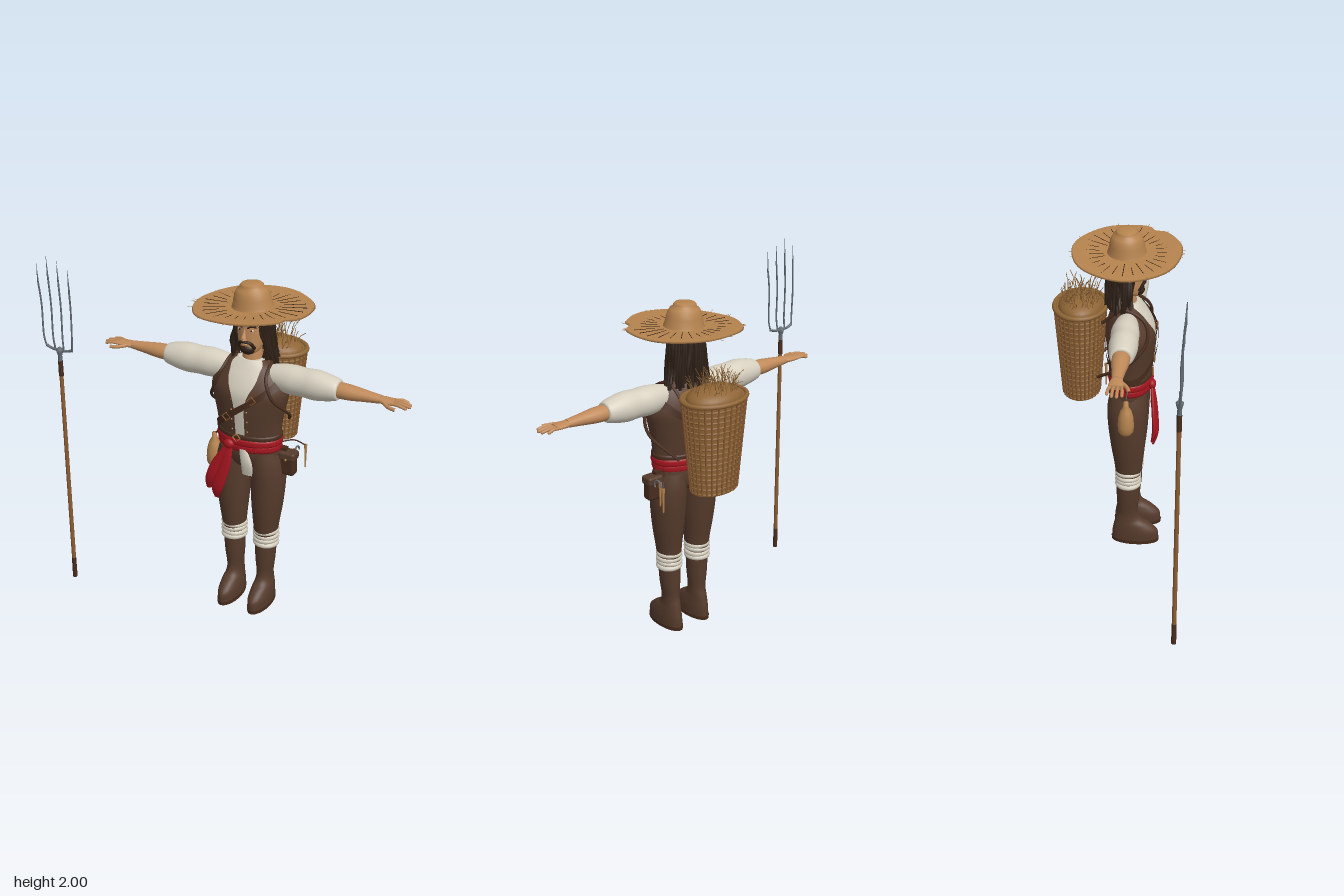
import * as THREE from 'three';
import { mergeGeometries } from 'three/addons/utils/BufferGeometryUtils.js';
import { RoundedBoxGeometry } from 'three/addons/geometries/RoundedBoxGeometry.js';

const mat = (name, color, side = THREE.FrontSide) =>
  Object.assign(new THREE.MeshStandardMaterial({ color, side }), { name });
const V = (x, y, z) => new THREE.Vector3(x, y, z);

// Seeded random numbers for straw and hair
let seed = 7;
const rnd = (a = 0, b = 1) => {
  seed = (seed * 16807) % 2147483647;
  return a + (b - a) * (seed / 2147483647);
};

// Smooth interpolation through cross-sections [y, cx, cz, rx, rz, gap]
function section(S, u) {
  const n = S.length - 1, i = Math.min(Math.floor(u), n - 1), t = u - i;
  const at = k => S[Math.max(0, Math.min(n, k))];
  return S[0].map((_, c) => {
    const [a, b, d, e] = [at(i - 1)[c], at(i)[c], at(i + 1)[c], at(i + 2)[c]];
    return b + 0.5 * t * (d - a + t * (2 * a - 5 * b + 4 * d - e + t * (3 * (b - d) + e - a)));
  });
}
const ringPoint = (s, a, off = 0) =>
  [s[1] + (s[3] + off) * Math.sin(a), s[0], s[2] + (s[4] + off) * Math.cos(a)];

// Skin elliptical rings from bottom to top; a gap leaves the front open
function loft(S, seg = 28, sub = 5) {
  const open = S[0].length > 5, rows = (S.length - 1) * sub, P = [], I = [];
  const cols = open ? seg + 1 : seg;
  for (let j = 0; j <= rows; j++) {
    const s = section(S, j / sub), g = open ? s[5] : 0;
    for (let i = 0; i < cols; i++) P.push(...ringPoint(s, g + (2 * Math.PI - 2 * g) * i / seg));
  }
  for (let j = 0; j < rows; j++) for (let i = 0; i < seg; i++) {
    const a = j * cols + i, b = j * cols + (i + 1) % cols;
    I.push(a, b, b + cols, a, b + cols, a + cols);
  }
  if (!open) for (const j of [0, rows]) {
    const c = P.length / 3, s = section(S, j / sub);
    P.push(s[1], s[0], s[2]);
    for (let i = 0; i < seg; i++) P.push(...ringPoint(s, 2 * Math.PI * i / seg));
    for (let i = 0; i < seg; i++) {
      const a = c + 1 + i, b = c + 1 + (i + 1) % seg;
      I.push(c, ...(j ? [a, b] : [b, a]));
    }
  }
  const g = new THREE.BufferGeometry();
  g.setAttribute('position', new THREE.Float32BufferAttribute(P, 3));
  g.setIndex(I);
  g.computeVertexNormals();
  return g;
}
const tube = (pts, r, seg = 12, rad = 6, closed = false) =>
  new THREE.TubeGeometry(new THREE.CatmullRomCurve3(pts, closed), seg, r, rad, closed);
const lathe = (pts, seg = 40) => new THREE.LatheGeometry(pts.map(p => new THREE.Vector2(...p)), seg);
const range = (n, f) => Array.from({ length: n }, (_, i) => f(i));

export function createModel() {
  const skin = mat('skin', 0xc08a5a), straw = mat('straw', 0xb5834e), brown = mat('brownCloth', 0x563b2c, THREE.DoubleSide),
    linen = mat('linen', 0xd6cfbf, THREE.DoubleSide), red = mat('redSash', 0xa5151f), wicker = mat('wicker', 0x8f6536),
    hair = mat('darkHair', 0x2f2117, THREE.DoubleSide), steel = mat('steel', 0x676e74),
    wood = mat('wood', 0x8c5d34), leather = mat('leather', 0x482c1d, THREE.DoubleSide);
  const model = new THREE.Group();
  const group = (name, x = 0, y = 0, z = 0, parent = model) => {
    const g = new THREE.Group(); g.name = name; g.position.set(x, y, z); parent.add(g); return g;
  };
  const add = (parent, name, geo, m, x = 0, y = 0, z = 0) => {
    const o = new THREE.Mesh(geo, m); o.name = name; o.position.set(x, y, z); parent.add(o); return o;
  };
  const body = group('body', 0.1, 0, 0);

  // Torso: shirt under an open vest
  const T = [[1.05, 0, .07, .178, .112, .15], [1.15, 0, .07, .185, .125, .15], [1.25, 0, .07, .205, .135, .15],
    [1.33, 0, .068, .22, .138, .22], [1.4, 0, .062, .195, .117, .42], [1.46, 0, .055, .15, .085, .62], [1.495, 0, .05, .08, .065, 1.1]];
  add(body, 'vest', loft(T, 40), brown);
  add(body, 'shirt', loft(T.map(([y, x, z, a, b]) => [y, x, z, a - .006, b - .006])), linen);
  for (const s of [-1, 1]) for (let k = 0; k < 4; k++)
    add(body, 'vestButton', new THREE.SphereGeometry(.005, 8, 6), straw, s * .045, 1.12 + k * .06, .19 + Math.min(k, 2) * .006);

  // Shoulder-to-hip belt following the torso
  const strapP = [], strapI = [];
  for (let i = 0; i <= 64; i++) {
    const a = i / 64 * Math.PI * 2;
    for (const d of [-.021, .021]) {
      const y = 1.25 + .165 * Math.sin(a) + d;
      let k = 0; while (k < T.length - 2 && T[k + 1][0] < y) k++;
      const p = ringPoint(section(T, k + (y - T[k][0]) / (T[k + 1][0] - T[k][0])), a, .009);
      strapP.push(p[0], y, p[2]);
    }
    if (i) strapI.push(2 * i - 2, 2 * i, 2 * i + 1, 2 * i - 2, 2 * i + 1, 2 * i - 1);
  }
  const strapG = new THREE.BufferGeometry();
  strapG.setAttribute('position', new THREE.Float32BufferAttribute(strapP, 3));
  strapG.setIndex(strapI); strapG.computeVertexNormals();
  add(body, 'crossBelt', strapG, leather);
  for (const [x, y, z] of [[-.075, 1.19, .202], [.075, 1.315, .206]])
    add(body, 'crossBeltBuckle', new THREE.TorusGeometry(.024, .004, 6, 4), wood, x, y, z);

  // Waist: belt, sash, knot, tails and rag
  const band = (y0, y1, a, b) => loft([[y0, 0, .07, a - .006, b - .006], [y0 + (y1 - y0) * .25, 0, .07, a, b],
    [y0 + (y1 - y0) * .75, 0, .07, a, b], [y1, 0, .07, a - .006, b - .006]]);
  add(body, 'waistBelt', band(1.06, 1.09, .187, .122), leather);
  add(body, 'beltBuckle', new THREE.TorusGeometry(.023, .004, 6, 4), straw, -.02, 1.072, .192);
  add(body, 'sash', band(1.025, 1.066, .188, .126), red);
  add(body, 'sashLower', band(.99, 1.033, .184, .122), red);
  add(body, 'sashKnot', new THREE.SphereGeometry(.032, 16, 12), red, -.065, 1.025, .19).scale.set(1, .9, .7);
  add(body, 'sashTail', loft([[.73, -.185, .2, .014, .006], [.8, -.165, .212, .034, .012], [.9, -.13, .205, .034, .013], [1.02, -.07, .19, .018, .01]], 16), red);
  add(body, 'sashTail', loft([[.685, -.135, .205, .012, .006], [.76, -.12, .222, .034, .012], [.9, -.08, .21, .032, .013], [1.03, -.06, .19, .018, .01]], 16), red);
  add(body, 'rag', loft([[.855, .04, .18, .03, .006], [.93, .038, .188, .034, .012], [1.01, .015, .185, .022, .01]], 16), linen);

  // Hips, legs, wraps and boots
  add(body, 'hips', loft([[.865, 0, .058, .05, .07], [.9, 0, .058, .15, .1], [.96, 0, .062, .178, .115], [1.03, 0, .068, .176, .112]]), brown);
  for (const s of [-1, 1]) {
    const leg = group(s > 0 ? 'leftLeg' : 'rightLeg', 0, 0, 0, body);
    add(leg, 'trouserLeg', loft([[.42, s * .098, .062, .062, .066], [.52, s * .1, .065, .072, .078], [.65, s * .104, .062, .087, .095],
      [.8, s * .106, .058, .096, .108], [.9, s * .1, .058, .093, .11], [.98, s * .088, .062, .085, .1]]), brown);
    for (let k = 0; k < 4; k++) {
      const w = add(leg, 'kneeWrap', new THREE.TorusGeometry(.059, .0155, 10, 32), linen, s * .099, .394 + k * .026, .063);
      w.rotation.set(Math.PI / 2, s * .04 * (k % 2 ? 1 : -1), 0);
    }
    add(leg, 'boot', loft([[.02, s * .095, .105, .057, .133], [.07, s * .095, .104, .058, .13], [.115, s * .095, .085, .053, .102],
      [.15, s * .094, .063, .047, .072], [.2, s * .094, .06, .046, .058], [.29, s * .096, .062, .055, .064], [.4, s * .098, .063, .061, .067]]), brown);
    add(leg, 'sole', loft([[0, s * .095, .105, .059, .136], [.022, s * .095, .105, .06, .138]], 28, 1), leather);
  }

  // Arms held straight out to the sides
  for (const s of [-1, 1]) {
    const arm = group(s > 0 ? 'leftArm' : 'rightArm', 0, 1.415, .06, body);
    arm.rotation.z = -s * Math.PI / 2;
    add(arm, 'sleeve', loft([[.1, 0, -.003, .055, .055], [.17, 0, -.003, .072, .066], [.24, 0, -.003, .08, .075], [.31, 0, 0, .078, .073],
      [.38, 0, 0, .081, .076], [.45, 0, 0, .07, .07], [.5, 0, 0, .056, .06], [.508, 0, 0, .045, .048]]), linen);
    add(arm, 'forearm', loft([[.48, 0, 0, .042, .046], [.56, 0, 0, .041, .046], [.65, 0, 0, .031, .035], [.735, 0, 0, .021, .027]], 20), skin);
    add(arm, 'palm', loft([[.72, 0, 0, .018, .024], [.755, 0, 0, .016, .036], [.81, 0, 0, .013, .038]], 16), skin);
    for (let k = 0; k < 4; k++) {
      const z = -.03 + k * .02, end = [.865, .888, .893, .88][k];
      add(arm, 'finger', tube([V(0, .795, z * .9), V(-s * .004, .84, z * 1.15), V(s * .004, end, z * 1.25)], .0085, 8, 8), skin);
      add(arm, 'fingertip', new THREE.SphereGeometry(.0085, 8, 6), skin, s * .004, end, z * 1.25);
    }
    add(arm, 'thumb', tube([V(0, .75, .02), V(s * .006, .795, .055), V(s * .008, .84, .068)], .01, 8, 8), skin);
  }

  // Head and face
  const head = group('head', 0, 0, 0, body);
  add(head, 'neck', new THREE.CylinderGeometry(.048, .056, .13, 24), skin, 0, 1.52, .045);
  add(head, 'skull', loft([[1.53, 0, .085, .025, .035], [1.55, 0, .07, .052, .06], [1.6, 0, .055, .07, .077], [1.68, 0, .045, .08, .09], [1.78, 0, .045, .08, .088]]), skin);
  add(head, 'nose', new THREE.ConeGeometry(.017, .065, 12), skin, 0, 1.655, .142).rotation.x = -.25;
  add(head, 'noseTip', new THREE.SphereGeometry(.013, 12, 8), skin, 0, 1.635, .152);
  add(head, 'goatee', new THREE.SphereGeometry(1, 20, 14), hair, 0, 1.562, .095).scale.set(.046, .034, .046);
  add(head, 'lips', new THREE.SphereGeometry(1, 12, 8), skin, 0, 1.593, .132).scale.set(.018, .006, .008);
  for (const s of [-1, 1]) {
    add(head, 'moustache', tube([V(s * .002, 1.61, .142), V(s * .028, 1.604, .132), V(s * .045, 1.57, .11)], .009, 8, 6), hair);
    add(head, 'eye', new THREE.SphereGeometry(1, 12, 8), linen, s * .033, 1.672, .123).scale.set(.013, .006, .007);
    add(head, 'pupil', new THREE.SphereGeometry(.0055, 8, 6), hair, s * .033, 1.672, .127);
    add(head, 'eyebrow', tube([V(s * .013, 1.686, .133), V(s * .035, 1.696, .128), V(s * .056, 1.69, .114)], .005, 6, 6), hair);
  }
  add(head, 'hairBack', loft([[1.53, 0, .02, .1, .072, 1.5], [1.63, 0, .03, .098, .08, 1.2], [1.77, 0, .04, .088, .09, .85]], 28), hair);
  const locks = range(36, i => {
    const a = .8 + (i / 35) * (2 * Math.PI - 1.6), sx = Math.sin(a), cz = Math.cos(a), w = rnd(-.01, .01), y = rnd(1.45, 1.52);
    return tube([V(.082 * sx, 1.775, .04 + .08 * cz), V(.1 * sx + w, 1.67, .03 + .088 * cz), V(.115 * sx - w, 1.57, .025 + .086 * cz + w),
      V(.125 * sx + w, y, .02 + .085 * cz)], rnd(.008, .012), 10, 5);
  });
  add(head, 'hairLocks', mergeGeometries(locks), hair);

  // Wide straw hat, slightly tilted, with a notch in the brim
  const hat = group('hat', 0, 1.765, .045, body);
  hat.rotation.z = .06;
  const brim = lathe([[.09, 0], [.2, -.002], [.31, .003], [.325, .009], [.318, .017], [.2, .012], [.09, .012]], 96);
  const bp = brim.attributes.position;
  for (let i = 0; i < bp.count; i++) {
    const x = bp.getX(i), z = bp.getZ(i), a = Math.atan2(x, z), r = Math.hypot(x, z);
    const k = r > .25 ? 1 - .1 * Math.exp(-(((a - 1.03) / .13) ** 2)) + .008 * Math.sin(a * 7) : 1;
    bp.setXYZ(i, x * k, bp.getY(i) + (r > .25 ? .006 * Math.sin(a * 2 + 1) : 0), z * k * .9);
  }
  brim.computeVertexNormals();
  add(hat, 'brim', brim, straw);
  add(hat, 'crown', lathe([[.116, .005], [.107, .025], [.1, .06], [.092, .088], [.08, .108], [.062, .118], [.064, .127], [.054, .137], [.03, .141], [0, .142]]), straw).scale.z = .92;
  const stitches = range(28, i => {
    const a = i / 28 * Math.PI * 2, r0 = rnd(.13, .19), r1 = rnd(.25, .29);
    return tube([V(r0 * Math.sin(a), .012, r0 * .9 * Math.cos(a)), V(r1 * Math.sin(a), .014, r1 * .9 * Math.cos(a))], .0018, 2, 4);
  });
  add(hat, 'brimStitches', mergeGeometries(stitches), hair);
  const frays = range(24, i => {
    const a = rnd(0, 6.28), r = rnd(.33, .345);
    return tube([V(.3 * Math.sin(a), .01, .27 * Math.cos(a)), V(r * Math.sin(a), rnd(.0, .02), r * .9 * Math.cos(a))], .0013, 1, 4);
  });
  add(hat, 'brimFrays', mergeGeometries(frays), straw);

  // Oval wicker basket on the back, filled with straw
  const basket = group('basket', 0, 0, -.205, body);
  const oval = (y, off = 0, n = 20) => {
    const t = (y - .935) / .525, a = .135 + .05 * t + off, b = .098 + .04 * t + off;
    return range(n, i => V(a * Math.sin(i / n * 2 * Math.PI), y, b * Math.cos(i / n * 2 * Math.PI)));
  };
  add(basket, 'basketWall', loft([[.935, 0, 0, .135, .098], [1.46, 0, 0, .185, .138]], 40, 1), wicker);
  add(basket, 'basketHoops', mergeGeometries(range(17, k => tube(oval(.945 + k * .03), .006, 40, 6, true))), wicker);
  const lows = oval(.94, .003, 30), highs = oval(1.46, .003, 30);
  add(basket, 'basketStakes', mergeGeometries(lows.map((p, i) => tube([p, highs[i]], .0055, 1, 5))), wood);
  add(basket, 'basketRim', tube(oval(1.458, .002), .013, 48, 8, true), wicker);
  add(basket, 'strawMound', new THREE.SphereGeometry(1, 28, 10, 0, Math.PI * 2, 0, Math.PI / 2), wicker, 0, 1.455, 0).scale.set(.165, .065, .12);
  const blades = range(95, () => {
    const a = rnd(0, 6.28), r = Math.sqrt(rnd()), x = .15 * r * Math.sin(a), z = .105 * r * Math.cos(a), y = 1.455 + .06 * Math.sqrt(1 - r * r);
    const h = rnd(.03, .11), dx = rnd(-.04, .04), dz = rnd(-.04, .04);
    return tube([V(x, y - .01, z), V(x + dx * .4, y + h * .6, z + dz * .4), V(x * 1.1 + dx, y + h, z * 1.1 + dz)], .0017, 3, 4);
  });
  add(basket, 'strawBlades', mergeGeometries(blades), wicker);
  for (const s of [-1, 1])
    add(body, 'basketStrap', tube([V(s * .1, 1.4, -.08), V(s * .115, 1.487, .03), V(s * .13, 1.43, .15), V(s * .17, 1.33, .165), V(s * .225, 1.22, .07), V(s * .15, 1.1, -.1)], .009, 32, 6), leather);

  // Items hanging at the waist
  const gourd = group('gourd', -.125, .79, .06);
  add(gourd, 'gourdBody', lathe([[0, 0], [.03, .004], [.042, .025], [.045, .06], [.041, .11], [.03, .15], [.015, .175], [.013, .205], [0, .207]], 24), straw);
  add(gourd, 'gourdCord', tube([V(0, .19, 0), V(.02, .22, 0), V(.05, .25, .01)], .005, 8, 5), leather);
  const pouch = group('pouch', .32, .915, .045);
  add(pouch, 'pouchBody', new RoundedBoxGeometry(.085, .12, .065, 3, .018), leather, 0, -.01, 0);
  add(pouch, 'pouchFlap', new RoundedBoxGeometry(.095, .05, .075, 3, .014), brown, 0, .045, 0);
  add(pouch, 'pouchHanger', new THREE.BoxGeometry(.07, .025, .03), leather, -.045, .075, 0);
  add(pouch, 'pouchButton', new THREE.SphereGeometry(.007, 8, 6), straw, 0, .03, .038);
  add(pouch, 'hook', new THREE.TorusGeometry(.03, .005, 6, 16, Math.PI * 1.2), steel, .015, .035, -.07).rotation.y = Math.PI / 2;
  for (const [x, z] of [[.035, -.14], [0, -.068]])
    add(pouch, 'peg', new THREE.CylinderGeometry(.009, .004, .14, 8), straw, x, -.02, z);
  add(pouch, 'pegCord', tube([V(.035, .045, -.14), V(-.01, .09, -.09), V(-.06, .1, -.02)], .004, 8, 5), leather);

  // Pitchfork standing beside the figure
  const fork = group('pitchfork', -.895, 0, .38);
  add(fork, 'forkShaft', new THREE.CylinderGeometry(.011, .012, 1.38, 14), wood, 0, .69, 0);
  add(fork, 'shaftEnd', new THREE.CylinderGeometry(.0125, .0135, .13, 14), leather, 0, .065, 0);
  add(fork, 'shaftSocket', new THREE.CylinderGeometry(.013, .0135, .09, 14), leather, 0, 1.345, 0);
  add(fork, 'forkNeck', lathe([[.013, 1.385], [.011, 1.42], [.017, 1.44], [.02, 1.455], [.008, 1.468], [0, 1.468]], 14), steel);
  add(fork, 'forkBar', tube([V(-.082, 1.468, 0), V(-.06, 1.457, 0), V(0, 1.45, 0), V(.06, 1.457, 0), V(.082, 1.468, 0)], .0075, 20, 8), steel);
  for (const [x, top] of [[-.09, 1.95], [-.03, 2], [.03, 1.98], [.09, 1.95]]) {
    add(fork, 'tine', tube([V(x * .9, 1.457, 0), V(x, 1.52, .008), V(x * 1.03, 1.7, .006), V(x * 1.07, top - .13, .016)], .0048, 20, 8), steel);
    const tip = add(fork, 'tineTip', new THREE.ConeGeometry(.0048, .135, 8), steel, x * 1.08, top - .0675, .019);
    tip.rotation.x = .04;
  }
  return model;
}
